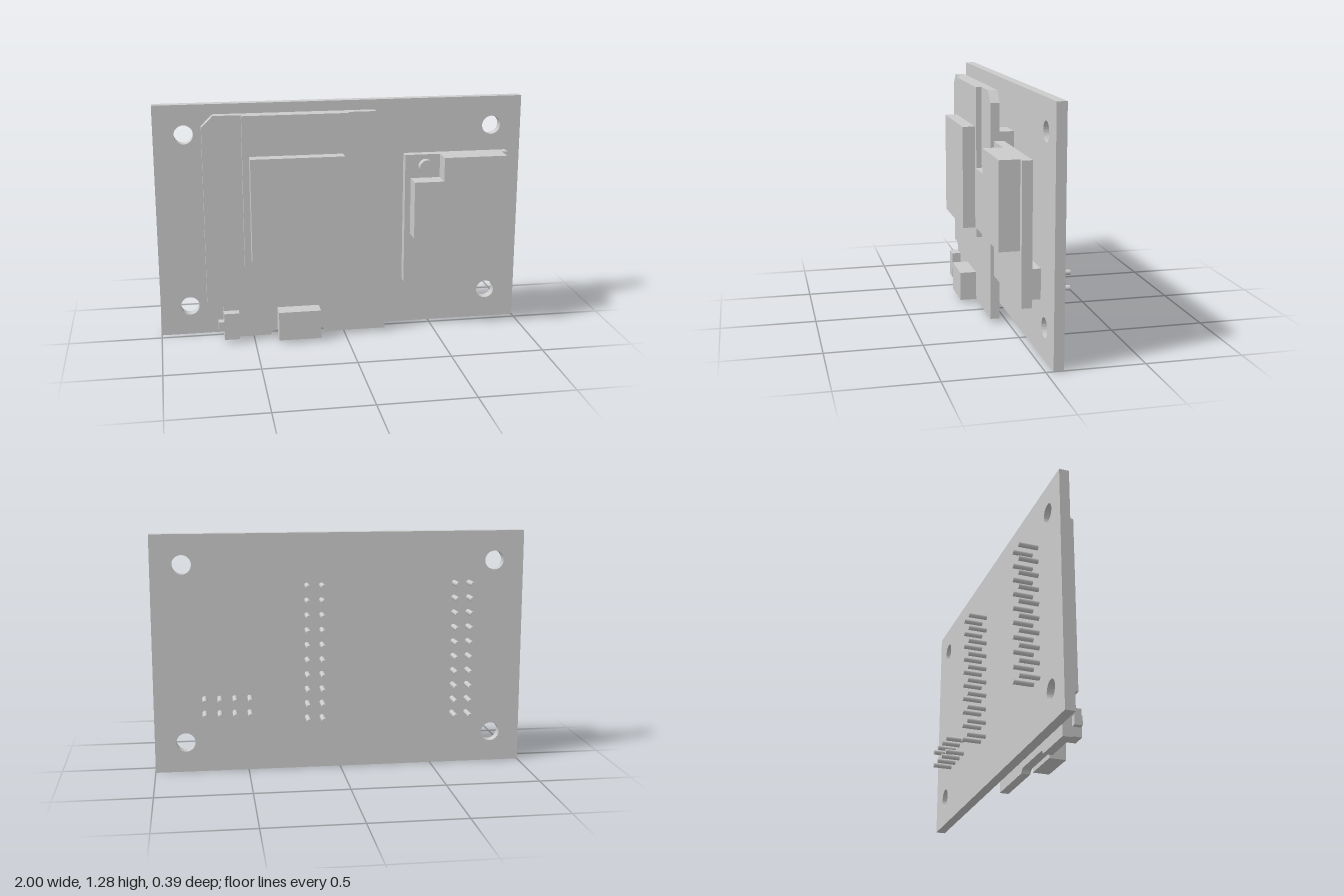
import * as THREE from 'three';

const material = new THREE.MeshStandardMaterial({ color: 0xcccccc });

function addMesh(parent, name, geometry) {
  const mesh = new THREE.Mesh(geometry, material);
  mesh.name = name;
  parent.add(mesh);
  return mesh;
}

// Box given by its extents on each axis
function addBox(parent, name, [x0, x1], [y0, y1], [z0, z1]) {
  const box = addMesh(parent, name, new THREE.BoxGeometry(x1 - x0, y1 - y0, z1 - z0));
  box.position.set((x0 + x1) / 2, (y0 + y1) / 2, (z0 + z1) / 2);
}

// Flat outline in x/y, extruded from z0 to z1
function addSlab(parent, name, shape, z0, z1) {
  const geometry = new THREE.ExtrudeGeometry(shape, { depth: z1 - z0, bevelEnabled: false, curveSegments: 12 });
  addMesh(parent, name, geometry.translate(0, 0, z0));
}

// Round bar along z
function addRod(parent, name, x, y, radius, z0, z1) {
  const geometry = new THREE.CylinderGeometry(radius, radius, z1 - z0, 20).rotateX(Math.PI / 2);
  addMesh(parent, name, geometry).position.set(x, y, (z0 + z1) / 2);
}

// Header socket with a grid of pins coming out behind the base plate
function addHeader(parent, name, xs, ys, xPins, yPins) {
  const header = new THREE.Group();
  header.name = name;
  addBox(header, 'socket', xs, ys, [-0.038, 0.04]);
  for (const x of xPins) for (const y of yPins) addRod(header, 'pin', x, y, 0.0135, -0.195, -0.088);
  parent.add(header);
}

export function createModel() {
  const model = new THREE.Group();
  model.name = 'circuitBoardAssembly';

  // Base plate with four mounting holes
  const plate = new THREE.Shape([[-1, 0], [1, 0], [1, 1.28], [-1, 1.28]].map(p => new THREE.Vector2(...p)));
  for (const x of [-0.84, 0.835]) for (const y of [0.163, 1.12]) {
    plate.holes.push(new THREE.Path().absarc(x, y, 0.051, 0, Math.PI * 2, true));
  }
  addSlab(model, 'basePlate', plate, -0.09, -0.038);

  // Headers and pins
  const rows = Array.from({ length: 10 }, (_, i) => 0.282 + i * 0.08);
  addHeader(model, 'rightHeader', [-0.735, -0.583], [0.25, 1.03], [-0.7, -0.62], rows);
  addHeader(model, 'leftHeader', [0.065, 0.222], [0.25, 1.03], [0.1, 0.18], rows);
  addHeader(model, 'sensorHeader', [0.455, 0.765], [0.285, 0.44], [0.49, 0.57, 0.65, 0.73], [0.322, 0.402]);

  // Controller board: clipped top corners, stepped corner and connector notch
  const controller = new THREE.Group();
  controller.name = 'controller';
  model.add(controller);
  const board = new THREE.Shape();
  board.moveTo(-0.665, 0.017);
  board.lineTo(-0.41, 0.017);
  board.quadraticCurveTo(-0.405, 0.04, -0.385, 0.04);
  board.lineTo(-0.135, 0.04);
  board.quadraticCurveTo(-0.115, 0.04, -0.11, 0.017);
  board.lineTo(0.225, 0.017);
  board.lineTo(0.225, 1.18);
  board.lineTo(0.168, 1.24);
  board.lineTo(-0.69, 1.24);
  board.lineTo(-0.75, 1.18);
  board.lineTo(-0.75, 0.217);
  board.lineTo(-0.695, 0.217);
  board.quadraticCurveTo(-0.665, 0.217, -0.665, 0.185);
  addSlab(controller, 'controllerBoard', board, 0.038, 0.088);
  addBox(controller, 'radioBoard', [-0.545, 0.018], [0.42, 1.24], [0.087, 0.118]);
  addBox(controller, 'shieldCan', [-0.51, -0.015], [0.467, 1.025], [0.117, 0.186]);
  addBox(controller, 'connector', [-0.373, -0.145], [0.015, 0.174], [0.087, 0.177]);
  addBox(controller, 'switchBody', [-0.665, -0.583], [0.022, 0.17], [0.08, 0.138]);
  addBox(controller, 'switchButton', [-0.695, -0.663], [0.072, 0.122], [0.088, 0.13]);

  // Sensor board with a block cut away round a small trimmer
  const sensor = new THREE.Group();
  sensor.name = 'sensor';
  model.add(sensor);
  addBox(sensor, 'sensorBoard', [0.327, 0.893], [0.286, 0.998], [0.04, 0.092]);
  const block = new THREE.Shape([
    [0.358, 0.56], [0.86, 0.56], [0.86, 0.998], [0.517, 0.998], [0.517, 0.87], [0.358, 0.87],
  ].map(p => new THREE.Vector2(...p)));
  addSlab(sensor, 'sensorBlock', block, 0.091, 0.195);
  addRod(sensor, 'trimmer', 0.438, 0.935, 0.039, 0.09, 0.132);

  return model;
}
